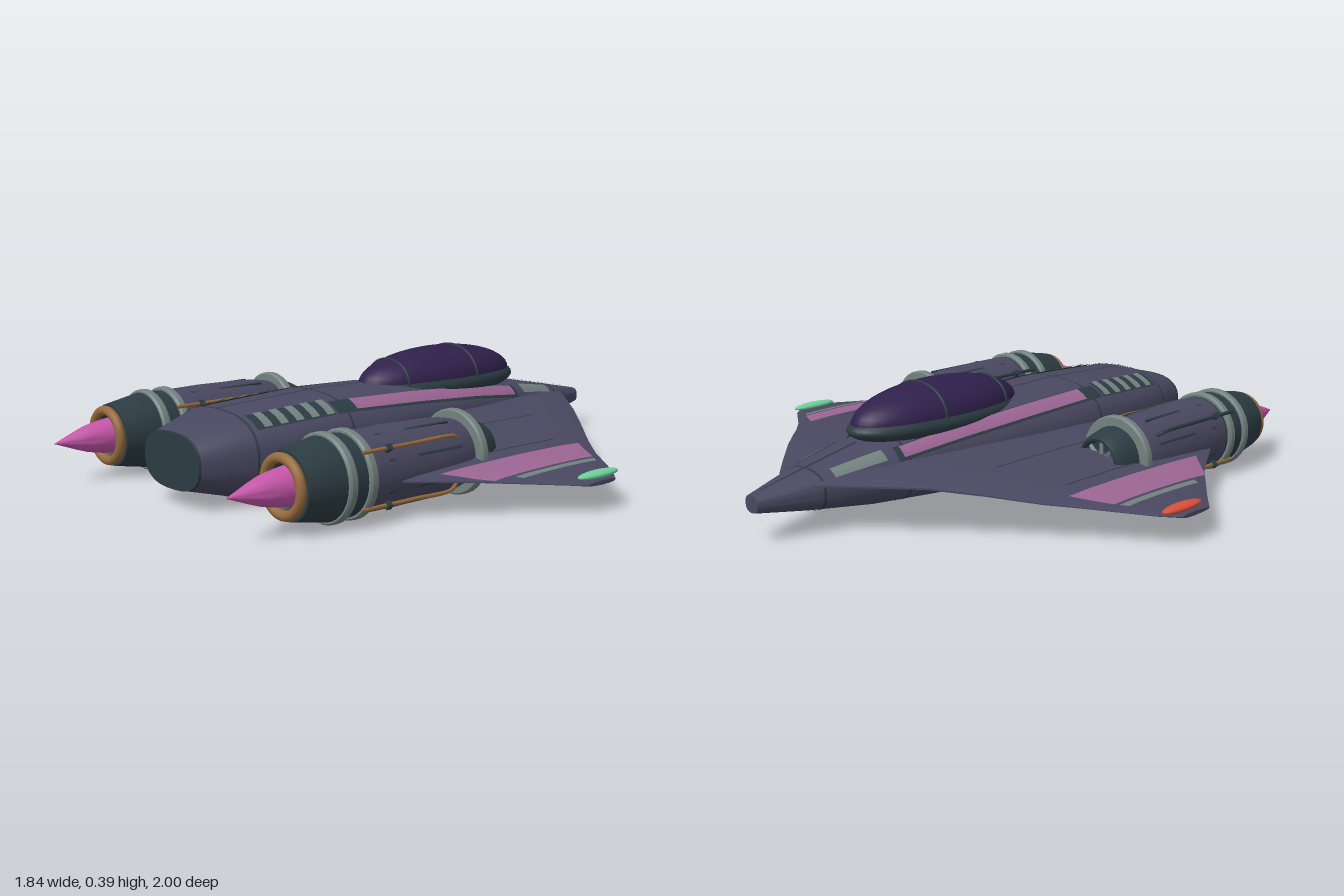
import * as THREE from 'three';
import { toCreasedNormals } from 'three/addons/utils/BufferGeometryUtils.js';

const mat = (name, color, side = THREE.FrontSide) => {
  const m = new THREE.MeshStandardMaterial({ color, side });
  m.name = name;
  return m;
};
const V = (x, y, z) => new THREE.Vector3(x, y, z);
const lerp = THREE.MathUtils.lerp;

// Fuselage stations: z, half width, bottom, top
const BODY = [
  [-1, 0.03, 0.1, 0.155], [-0.83, 0.09, 0.075, 0.19], [-0.6, 0.138, 0.045, 0.236],
  [-0.3, 0.185, 0.025, 0.275], [0, 0.216, 0.01, 0.295], [0.3, 0.228, 0.006, 0.302],
  [0.69, 0.212, 0.015, 0.285], [0.86, 0.145, 0.06, 0.235],
];
// Wing stations: x, leading z, trailing z, centre y, half thickness
const WING = [
  [0, -0.87, 0.4, 0.165, 0.028], [0.09, -0.83, 0.42, 0.165, 0.028], [0.2, -0.735, 0.47, 0.165, 0.028],
  [0.34, -0.61, 0.64, 0.163, 0.027], [0.47, -0.495, 0.6, 0.145, 0.024], [0.6, -0.38, 0.45, 0.122, 0.018],
  [0.7, -0.295, 0.28, 0.112, 0.013], [0.86, -0.18, 0.08, 0.1, 0.009], [0.92, -0.12, 0.01, 0.096, 0.007],
];
const FOIL = [[0, 0.1], [0.06, 0.6], [0.2, 0.9], [0.45, 1], [0.75, 0.8], [0.94, 0.45], [1, 0.15]];

// Linear interpolation in a table keyed by its first column
function sample(table, k) {
  let i = 0;
  while (i < table.length - 2 && k > table[i + 1][0]) i++;
  const a = table[i], b = table[i + 1];
  const t = (k - a[0]) / (b[0] - a[0]);
  return a.map((v, j) => lerp(v, b[j], t));
}

// Skin through closed rings of equal point count
function loft(rings, caps = true, crease = 0.6) {
  const n = rings[0].length, pos = [], idx = [];
  rings.forEach(r => r.forEach(p => pos.push(p.x, p.y, p.z)));
  for (let k = 0; k < rings.length - 1; k++) for (let i = 0; i < n; i++) {
    const a = k * n + i, b = k * n + (i + 1) % n;
    idx.push(a, b, a + n, b, b + n, a + n);
  }
  if (caps) [0, rings.length - 1].forEach((k, end) => {
    const c = rings[k].reduce((s, p) => s.add(p), V(0, 0, 0)).divideScalar(n);
    const ci = pos.length / 3;
    pos.push(c.x, c.y, c.z);
    for (let i = 0; i < n; i++) {
      const a = k * n + i, b = k * n + (i + 1) % n;
      end ? idx.push(a, b, ci) : idx.push(b, a, ci);
    }
  });
  const g = new THREE.BufferGeometry();
  g.setAttribute('position', new THREE.Float32BufferAttribute(pos, 3));
  g.setIndex(idx);
  return toCreasedNormals(g, crease);
}

// Open sheet over a function of (u, v)
function sheet(fn, nu, nv) {
  const g = new THREE.PlaneGeometry(1, 1, nu, nv), p = g.attributes.position;
  for (let i = 0; i < p.count; i++) {
    const q = fn(p.getX(i) + 0.5, 0.5 - p.getY(i));
    p.setXYZ(i, q.x, q.y, q.z);
  }
  g.computeVertexNormals();
  return g;
}

const POW = 2.6;
function bodyRing(z, grow = 0) {
  const [, w, b, t] = sample(BODY, z), ring = [];
  for (let i = 0; i < 48; i++) {
    const a = i / 48 * Math.PI * 2, c = Math.cos(a), s = Math.sin(a);
    ring.push(V(Math.sign(c) * Math.abs(c) ** (2 / POW) * (w + grow),
      (b + t) / 2 + Math.sign(s) * Math.abs(s) ** (2 / POW) * ((t - b) / 2 + grow), z));
  }
  return ring;
}
// Point on the upper hull at a fraction f of the half width
function hullPoint(f, z, lift) {
  const [, w, b, t] = sample(BODY, z);
  const y = (b + t) / 2 + (t - b) / 2 * (1 - Math.abs(f) ** POW) ** (1 / POW);
  return V(f * w + f * lift, y + lift, z);
}
function wingPoint(x, z, lift) {
  const [, l, t, y, h] = sample(WING, Math.abs(x));
  const f = THREE.MathUtils.clamp((z - l) / (t - l), 0, 1);
  return V(x, y + h * sample(FOIL, f)[1] + lift, z);
}

export function createModel() {
  const hull = mat('hull slate', 0x4a4861), teal = mat('dark teal', 0x2c3c43, THREE.DoubleSide);
  const grey = mat('trim grey', 0x72827f, THREE.DoubleSide), copper = mat('copper', 0x946a3c);
  const stripe = mat('stripe mauve', 0x9c6594, THREE.DoubleSide), plume = mat('plume magenta', 0xc455a8);
  const glass = mat('canopy violet', 0x30204c), green = mat('light green', 0x6fd09a), red = mat('light red', 0xd8503c);

  const model = new THREE.Group();
  const add = (name, geo, m, parent = model) => {
    const mesh = new THREE.Mesh(geo, m);
    mesh.name = name;
    parent.add(mesh);
    return mesh;
  };

  // Fuselage with end plate and panel seams
  add('fuselage', loft(BODY.map(s => bodyRing(s[0]))), hull);
  add('endPlate', loft([0.855, 0.863].map(z => bodyRing(Math.min(z, 0.86), 0.001).map(p => p.setZ(z)))), teal);
  for (const z of [-0.8, -0.5, 0.32, 0.69])
    add('hullSeam', loft([z - 0.004, z + 0.004].map(k => bodyRing(k, 0.002)), false), teal);
  const hullPatch = (name, m, z0, z1, fa, fb, lift = 0.004) =>
    add(name, sheet((u, v) => {
      const z = lerp(z0, z1, v);
      return hullPoint(lerp(lerp(fa[0], fb[0], v), lerp(fa[1], fb[1], v), u), z, lift);
    }, 6, 24), m);
  hullPatch('spineSeam', teal, -0.97, -0.6, [-0.07, 0.07], [-0.05, 0.05], 0.003);
  hullPatch('spineSeam', teal, 0.08, 0.69, [-0.02, 0.02], [-0.02, 0.02], 0.003);
  for (const s of [-1, 1]) {
    const f = (a, b) => [s * a, s * b];
    hullPatch('hullStripe', stripe, -0.52, 0.28, f(0.72, 0.92), f(0.63, 0.83), 0.005);
    hullPatch('stripeBorder', teal, -0.54, 0.36, f(0.69, 0.95), f(0.61, 0.85), 0.003);
    hullPatch('nosePanel', grey, -0.76, -0.58, f(0.62, 0.9), f(0.66, 0.9), 0.005);
    hullPatch('ventBed', teal, 0.37, 0.67, f(0.53, 0.85), f(0.53, 0.85), 0.003);
    for (let i = 0; i < 5; i++) {
      const z = 0.375 + i * 0.06;
      hullPatch('ventSlat', grey, z, z + 0.03, f(0.54, 0.84), f(0.54, 0.84), 0.007);
    }
  }

  // Canopy: rim, glass and hoops
  const dome = (name, m, y, rx, ry, rz) => {
    const d = add(name, new THREE.SphereGeometry(1, 40, 24), m);
    d.scale.set(rx, ry, rz);
    d.position.set(0, y, -0.255);
  };
  dome('canopyRim', teal, 0.27, 0.148, 0.065, 0.362);
  dome('canopyGlass', glass, 0.285, 0.138, 0.108, 0.346);
  for (const dz of [-0.075, 0.225]) {
    const k = Math.sqrt(1 - (dz / 0.346) ** 2), pts = [];
    for (let i = 0; i <= 16; i++) {
      const a = i / 16 * Math.PI;
      pts.push(V(Math.cos(a) * 0.138 * k, 0.285 + Math.sin(a) * 0.108 * k, -0.255 + dz));
    }
    add('canopyHoop', new THREE.TubeGeometry(new THREE.CatmullRomCurve3(pts), 32, 0.005, 6), teal);
  }

  // Wing from tip to tip
  const stations = [...WING.slice(1).reverse().map(s => [-s[0], ...s.slice(1)]), ...WING];
  add('wing', loft(stations.map(([x, l, t, y, h]) => [
    ...FOIL.map(([f, k]) => V(x, y + h * k, lerp(l, t, f))),
    ...[...FOIL].reverse().map(([f, k]) => V(x, y - h * k, lerp(l, t, f))),
  ])), hull);
  // Painted bands: x range with z range at each side
  const wingPatch = (name, m, x0, x1, za, zb, lift) =>
    add(name, sheet((u, v) => wingPoint(lerp(x0, x1, u),
      lerp(lerp(za[0], zb[0], u), lerp(za[1], zb[1], u), v), lift), 8, 24), m);
  for (const s of [-1, 1]) {
    wingPatch('wingStripe', stripe, s * 0.625, s * 0.745, [-0.295, 0.335], [-0.225, 0.225], 0.004);
    wingPatch('wingTrim', grey, s * 0.757, s * 0.78, [-0.215, 0.15], [-0.2, 0.14], 0.004);
    wingPatch('wingSeam', teal, s * 0.568, s * 0.574, [-0.24, 0.3], [-0.24, 0.3], 0.003);
    wingPatch('wingSeam', teal, s * 0.373, s * 0.379, [-0.35, 0.15], [-0.35, 0.15], 0.003);
    const light = add(s > 0 ? 'leftTipLight' : 'rightTipLight', new THREE.SphereGeometry(1, 20, 12), s > 0 ? green : red);
    light.scale.set(0.024, 0.013, 0.092);
    light.position.set(s * 0.884, 0.112, -0.08);
  }

  // Engines, both alike
  const lathe = pts => toCreasedNormals(
    new THREE.LatheGeometry(pts.map(p => new THREE.Vector2(...p)), 32).rotateX(Math.PI / 2), 0.5);
  for (const s of [-1, 1]) {
    const engine = new THREE.Group();
    engine.name = s > 0 ? 'leftEngine' : 'rightEngine';
    engine.position.set(s * 0.47, 0.143, 0);
    model.add(engine);
    const part = (name, geo, m) => add(name, geo, m, engine);
    part('intake', lathe([[0, 0.05], [0.065, 0.05], [0.07, 0.015], [0.078, 0.012], [0.092, 0.04], [0.104, 0.1], [0.106, 0.14]]), teal);
    part('intakeHub', new THREE.ConeGeometry(0.022, 0.04, 16).rotateX(-Math.PI / 2).translate(0, 0, 0.032), grey);
    for (let i = 0; i < 8; i++)
      part('fanBlade', new THREE.BoxGeometry(0.048, 0.012, 0.006).rotateX(0.5).translate(0.042, 0, 0.035)
        .rotateZ(i * Math.PI / 4), grey);
    part('casing', lathe([[0.104, 0.12], [0.115, 0.17], [0.122, 0.24], [0.126, 0.42], [0.124, 0.56]]), hull);
    part('nozzle', lathe([[0.124, 0.545], [0.128, 0.66], [0.104, 0.79], [0.092, 0.79], [0.07, 0.76], [0, 0.76]]), teal);
    for (const z of [0.118, 0.572, 0.65])
      part('engineBand', lathe([[0.1, z - 0.016], [0.132, z - 0.016], [0.137, z - 0.009], [0.137, z + 0.009],
        [0.132, z + 0.016], [0.1, z + 0.016]]), grey);
    part('nozzleRing', new THREE.TorusGeometry(0.084, 0.016, 12, 36).translate(0, 0, 0.803), copper);
    part('plume', lathe([[0.062, 0.77], [0.054, 0.83], [0.044, 0.88], [0.032, 0.915], [0, 1]]), plume);
    // Casing slots
    for (let i = 0; i < 8; i++)
      part('casingSlot', new THREE.BoxGeometry(0.008, 0.008, 0.3).translate(0.121, 0, 0.35)
        .rotateZ((i + 0.5) * Math.PI / 4), teal);
    // Pipes on the four diagonals, bent in at the ends
    [38, 142, 218, 322].forEach((deg, i) => {
      const path = new THREE.CatmullRomCurve3([V(0.115, 0, 0.2), V(0.137, 0, 0.24), V(0.138, 0, 0.4), V(0.138, 0, 0.6)]);
      const a = THREE.MathUtils.degToRad(deg);
      part('fuelPipe', new THREE.TubeGeometry(path, 24, 0.0065, 8).rotateZ(a), i === 1 ? teal : copper);
      part('pipeClip', new THREE.BoxGeometry(0.022, 0.018, 0.018).translate(0.138, 0, 0.5).rotateZ(a), teal);
    });
  }
  return model;
}
